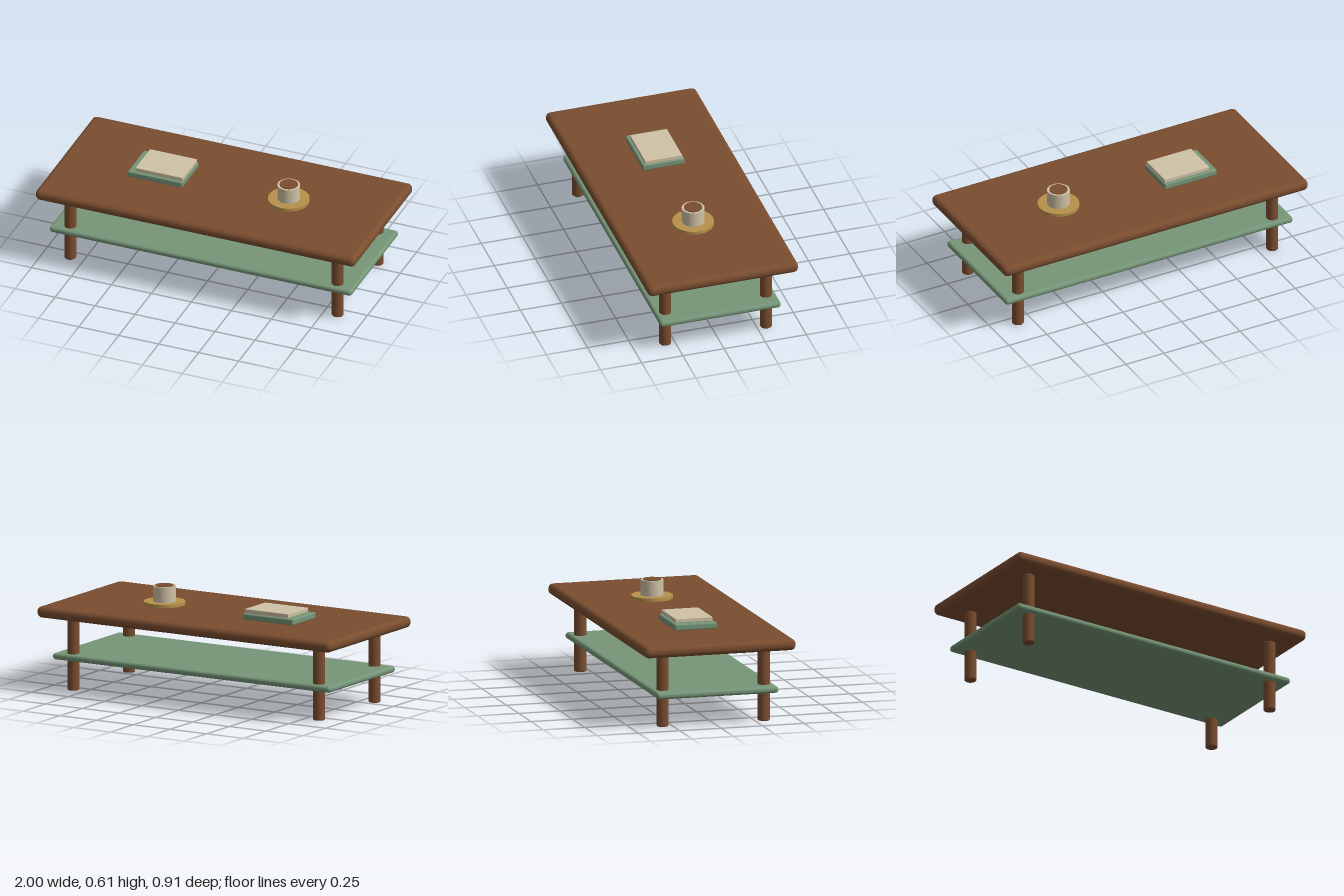
import * as THREE from 'three';
import { RoundedBoxGeometry } from 'three/addons/geometries/RoundedBoxGeometry.js';

function material(name, color) {
  const m = new THREE.MeshStandardMaterial({ color });
  m.name = name;
  return m;
}

export function createModel() {
  const group = new THREE.Group();
  group.name = 'coffeeTable';
  const wood = material('walnutBrown', 0x7a4d2f);
  const green = material('sageGreen', 0x769678);
  const cream = material('cream', 0xcfc2a6);
  const gold = material('ochre', 0xb8924c);

  const add = (name, geometry, mat, x, y, z) => {
    const mesh = new THREE.Mesh(geometry, mat);
    mesh.name = name;
    mesh.position.set(x, y, z);
    group.add(mesh);
  };
  // Rounded slab given by its x, y and z ranges
  const slab = (name, mat, [x0, x1], [y0, y1], [z0, z1], r) =>
    add(name, new RoundedBoxGeometry(x1 - x0, y1 - y0, z1 - z0, 4, r), mat,
      (x0 + x1) / 2, (y0 + y1) / 2, (z0 + z1) / 2);
  // Turned part from [radius, height] points
  const turned = (name, mat, points, x, z) =>
    add(name, new THREE.LatheGeometry(points.map(([r, y]) => new THREE.Vector2(r, y)), 48), mat, x, 0, z);
  // Closed round part with sharp ends
  const disc = (name, mat, r, y0, y1, x, z) =>
    add(name, new THREE.CylinderGeometry(r, r, y1 - y0, 40), mat, x, (y0 + y1) / 2, z);

  // Table
  slab('tableTop', wood, [-1, 1], [0.432, 0.498], [-0.457, 0.457], 0.03);
  slab('lowerShelf', green, [-0.944, 0.944], [0.176, 0.214], [-0.366, 0.366], 0.017);
  for (const sx of [-1, 1]) {
    for (const sz of [-1, 1]) {
      const leg = [[0, 0], [0.032, 0], [0.035, 0.004], [0.035, 0.424], [0.032, 0.429], [0, 0.429]];
      // Repeated points keep the ends crisp
      turned('leg', wood, leg.flatMap((p) => [p, p]), sx * 0.836, sz * 0.306);
    }
  }

  // Books
  slab('lowerBook', green, [-0.56, -0.218], [0.497, 0.534], [-0.147, 0.107], 0.008);
  slab('upperBook', cream, [-0.517, -0.223], [0.534, 0.559], [-0.132, 0.092], 0.003);

  // Saucer, cup and drink
  disc('saucer', gold, 0.121, 0.498, 0.517, 0.405, 0);
  disc('cup', cream, 0.066, 0.517, 0.608, 0.405, 0);
  disc('drink', wood, 0.053, 0.604, 0.612, 0.405, 0);

  return group;
}
